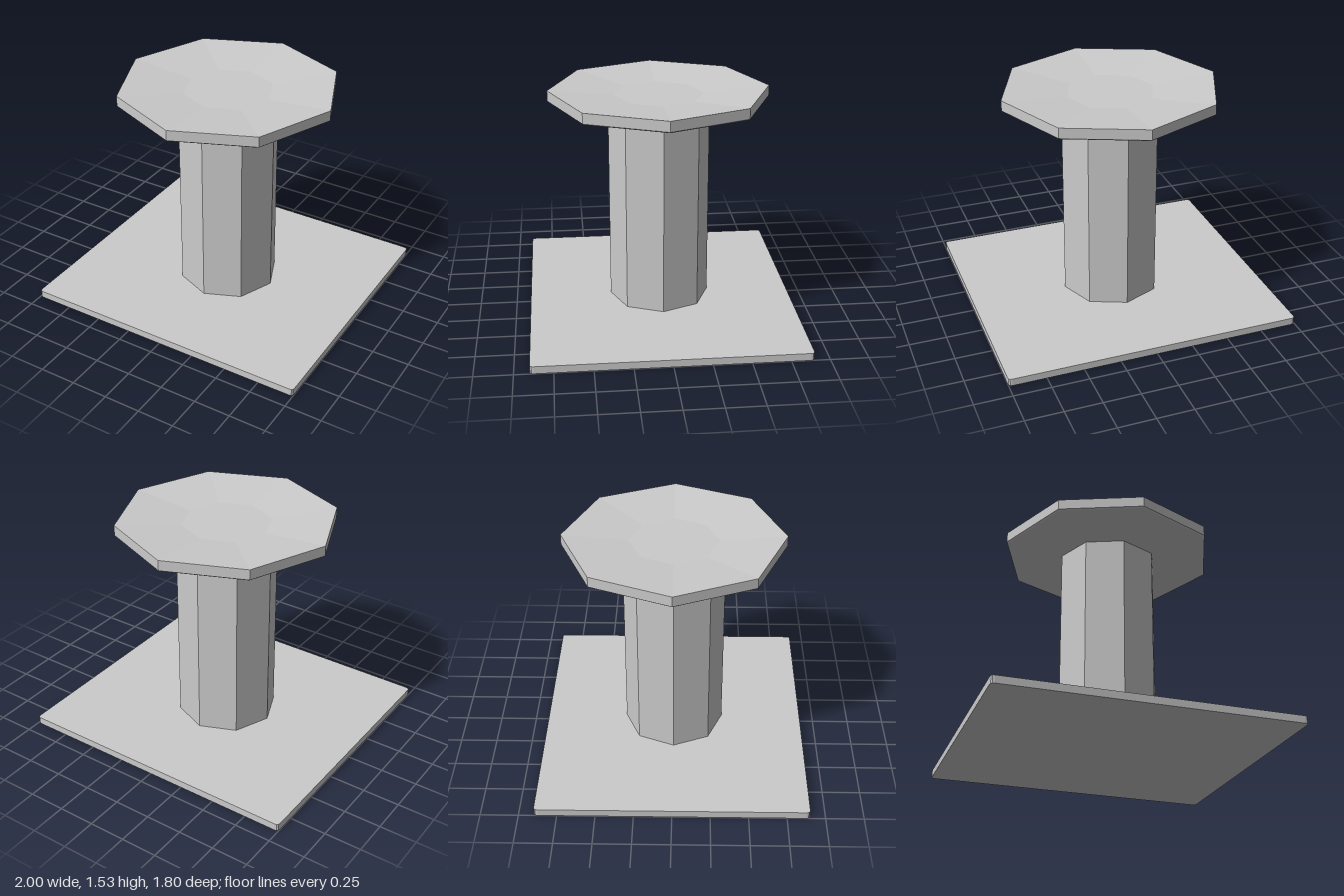
import * as THREE from 'three';

const material = new THREE.MeshStandardMaterial({ color: 0xcccccc, flatShading: true });

function addPart(group, name, geometry) {
  const mesh = new THREE.Mesh(geometry, material);
  mesh.name = name;
  group.add(mesh);
}

// Eight-sided solid from [radius, height] pairs, listed bottom to top
function octagonal(profile) {
  return new THREE.LatheGeometry(profile.map(([r, y]) => new THREE.Vector2(r, y)), 8);
}

// Flat slab with small rounded corners, standing on y = 0
function slab(width, depth, height, r) {
  const x = width / 2, z = depth / 2;
  const s = new THREE.Shape();
  s.moveTo(-x + r, -z);
  s.lineTo(x - r, -z);
  s.quadraticCurveTo(x, -z, x, -z + r);
  s.lineTo(x, z - r);
  s.quadraticCurveTo(x, z, x - r, z);
  s.lineTo(-x + r, z);
  s.quadraticCurveTo(-x, z, -x, z - r);
  s.lineTo(-x, -z + r);
  s.quadraticCurveTo(-x, -z, -x + r, -z);
  return new THREE.ExtrudeGeometry(s, { depth: height, bevelEnabled: false, curveSegments: 3 })
    .rotateX(-Math.PI / 2);
}

export function createModel() {
  const model = new THREE.Group();
  model.name = 'pedestal';

  addPart(model, 'basePlate', slab(2, 1.8, 0.05, 0.025));

  // Column, its ends tucked into the plate and the dish
  addPart(model, 'column', octagonal([[0, 0.04], [0.34, 0.04], [0.34, 1.425], [0, 1.425]]));

  // Shallow dish: sloped underside, upright rim, sunken top
  addPart(model, 'dish', octagonal([
    [0, 1.415], [0.3, 1.415], [0.727, 1.452], [0.738, 1.46],
    [0.738, 1.53], [0.3, 1.492], [0, 1.492],
  ]));

  return model;
}
